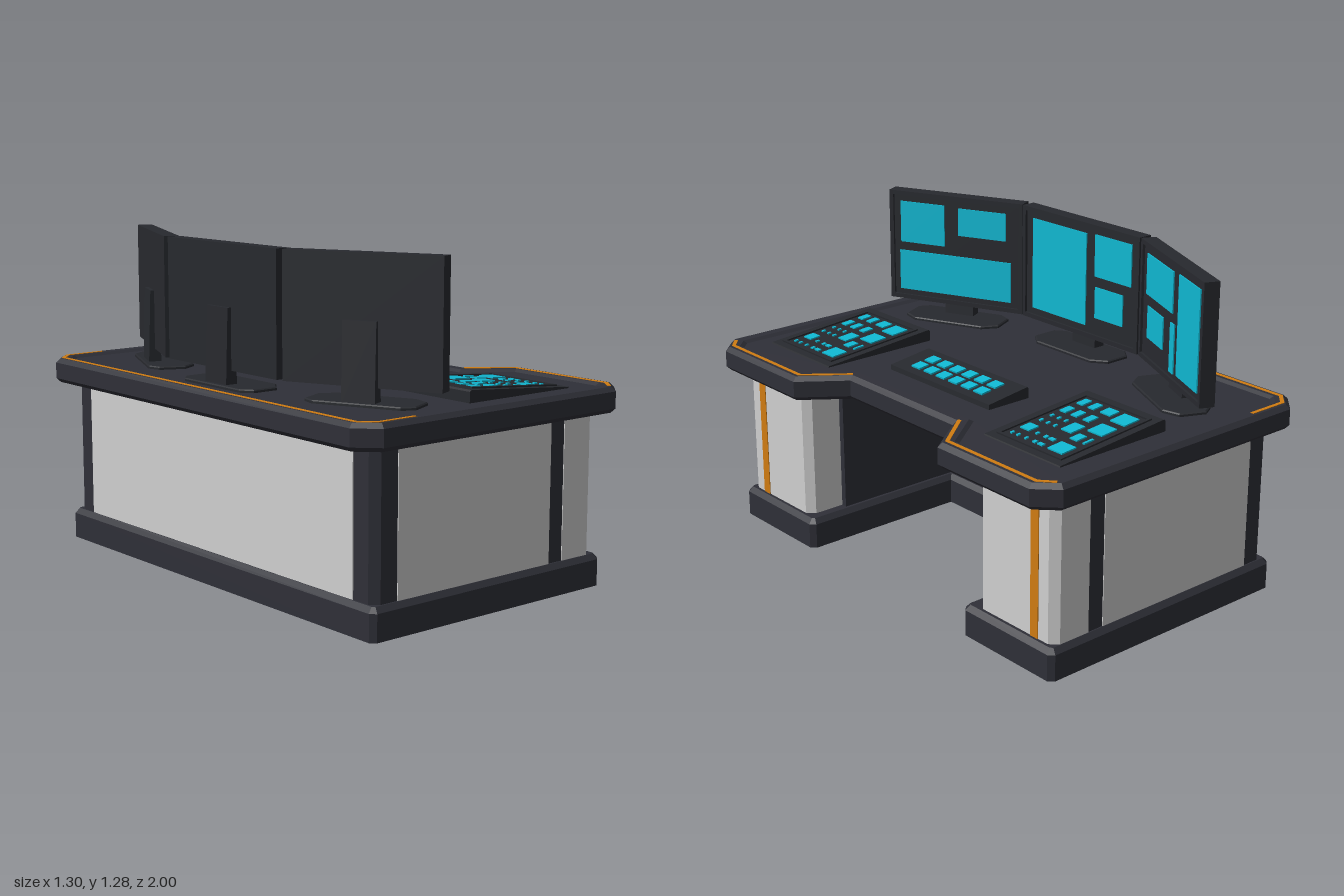
import * as THREE from 'three';

const mat = (name, color) => Object.assign(new THREE.MeshStandardMaterial({ color }), { name });
const M = {
  desk: mat('charcoal', 0x2f3038),
  device: mat('dark grey', 0x27292e),
  panel: mat('light grey', 0xd0d0d0),
  glow: mat('cyan', 0x10b8d2),
  trim: mat('orange', 0xd07c12),
};

// Full outline from the half with z > 0, listed from front to back
const mirrored = half => [...half, ...half.map(([x, z]) => [x, -z]).reverse()];

// Moves every edge of an [x, z] outline inward by d
function inset(pts, d) {
  const n = pts.length;
  const normal = (a, b) => {
    const l = Math.hypot(b[0] - a[0], b[1] - a[1]);
    return [(a[1] - b[1]) / l, (b[0] - a[0]) / l];
  };
  return pts.map((p, i) => {
    const a = normal(pts[(i + n - 1) % n], p), b = normal(p, pts[(i + 1) % n]);
    const k = d / (1 + a[0] * b[0] + a[1] * b[1]);
    return [p[0] + (a[0] + b[0]) * k, p[1] + (a[1] + b[1]) * k];
  });
}

// Solid through the outline at several [y, inset] levels, capped at both ends
function loft(name, pts, levels, material) {
  const pos = [];
  const rings = levels.map(([y, d]) => inset(pts, d).map(([x, z]) => [x, y, z]));
  for (let r = 0; r < rings.length - 1; r++) {
    const lo = rings[r], hi = rings[r + 1];
    lo.forEach((a, i) => {
      const j = (i + 1) % lo.length;
      pos.push(...a, ...hi[i], ...hi[j], ...a, ...hi[j], ...lo[j]);
    });
  }
  const cap = (ring, up) => {
    const tris = THREE.ShapeUtils.triangulateShape(ring.map(p => new THREE.Vector2(p[0], p[2])), []);
    for (const [a, b, c] of tris) pos.push(...ring[a], ...ring[up ? c : b], ...ring[up ? b : c]);
  };
  cap(rings[0], false);
  cap(rings[rings.length - 1], true);
  const geo = new THREE.BufferGeometry();
  geo.setAttribute('position', new THREE.Float32BufferAttribute(pos, 3));
  geo.computeVertexNormals();
  const mesh = new THREE.Mesh(geo, material);
  mesh.name = name;
  return mesh;
}

function box(name, w, h, d, x, y, z, material) {
  const mesh = new THREE.Mesh(new THREE.BoxGeometry(w, h, d), material);
  mesh.name = name;
  mesh.position.set(x, y, z);
  return mesh;
}

// Side profile in x, y stretched along z
function profile(name, pts, depth, material) {
  const shape = new THREE.Shape(pts.map(p => new THREE.Vector2(...p)));
  const geo = new THREE.ExtrudeGeometry(shape, { depth, bevelEnabled: false });
  const mesh = new THREE.Mesh(geo.translate(0, 0, -depth / 2), material);
  mesh.name = name;
  return mesh;
}

// Flat inlaid line along an [x, z] path
function trimLine(name, path, y) {
  const g = new THREE.Group();
  g.name = name;
  for (let i = 0; i < path.length - 1; i++) {
    const [a, b] = [path[i], path[i + 1]];
    const dx = b[0] - a[0], dz = b[1] - a[1];
    const seg = box('trimSegment', Math.hypot(dx, dz) + 0.006, 0.004, 0.015,
      (a[0] + b[0]) / 2, y, (a[1] + b[1]) / 2, M.trim);
    seg.rotation.y = -Math.atan2(dz, dx);
    g.add(seg);
  }
  return g;
}

const TOP = 0.752;

// Monitor facing +x; windows are [z left, z right, y top, y bottom]
function monitor(name, width, windows) {
  const g = new THREE.Group();
  g.name = name;
  const y0 = 0.815, y1 = 1.285, h = y1 - y0, ym = (y0 + y1) / 2, rim = 0.018;
  g.add(box('monitorBody', 0.05, h, width, -0.005, ym, 0, M.device));
  for (const s of [1, -1]) {
    g.add(box('bezelSide', 0.01, h, rim, 0.025, ym, s * (width - rim) / 2, M.device));
    g.add(box('bezelRail', 0.01, rim, width - 2 * rim, 0.025, ym + s * (h - rim) / 2, 0, M.device));
  }
  for (const [l, r, t, b] of windows)
    g.add(box('screenWindow', 0.006, t - b, l - r, 0.022, (t + b) / 2, (l + r) / 2, M.glow));
  g.add(profile('stand', [[-0.055, TOP], [-0.003, TOP], [-0.02, 1.05], [-0.045, 1.05]], 0.13, M.device));
  const foot = [[0.11, 0.155], [0.065, 0.215], [-0.04, 0.215], [-0.075, 0.17]];
  g.add(loft('standFoot', mirrored(foot), [[TOP - 0.005, 0], [TOP + 0.008, 0], [TOP + 0.012, 0.005]], M.device));
  return g;
}

// Key layout of a control console: [x, z, width, depth] in grid steps
const KEYS = [
  [0, 0, 14, 14], [21, 0, 14, 14], [42, 0, 9, 2], [42, 7, 9, 7], [58, 0, 13, 14],
  [0, 19, 9, 10], [16, 23, 9, 6], [32, 19, 13, 10],
  [58, 19, 3, 5], [68, 19, 3, 5], [58, 26, 3, 3], [68, 26, 3, 3],
  [0, 35, 9, 6], [16, 35, 9, 6], [32, 35, 3, 2], [42, 35, 3, 2], [58, 35, 3, 2], [68, 35, 3, 2],
  [0, 46, 9, 6], [16, 46, 9, 6], [32, 42, 3, 2], [42, 42, 3, 2], [32, 49, 3, 2], [42, 49, 3, 2],
  [52, 43, 9, 9], [68, 43, 3, 2], [68, 49, 3, 2],
];

function controlConsole() {
  const g = new THREE.Group();
  g.name = 'controlConsole';
  g.add(profile('consoleBody', [[-0.048, 0.745], [0.465, 0.745], [0.46, 0.757], [-0.04, 0.799], [-0.048, 0.793]], 0.395, M.device));
  const deck = new THREE.Group();
  deck.name = 'consoleDeck';
  deck.position.set(0.21, 0.778, 0);
  deck.rotation.z = -0.084;
  // Raised rim around the keys
  for (const s of [1, -1]) {
    deck.add(box('deckRim', 0.44, 0.008, 0.012, 0, 0.002, s * 0.162, M.device));
    deck.add(box('deckRim', 0.012, 0.008, 0.312, s * 0.214, 0.002, 0, M.device));
  }
  const step = 0.0053;
  for (const [x, z, w, d] of KEYS)
    deck.add(box('consoleKey', w * step, 0.009, d * step, (x + w / 2 - 35.5) * step, 0.001, (z + d / 2 - 26) * step, M.glow));
  g.add(deck);
  return g;
}

function keypad() {
  const g = new THREE.Group();
  g.name = 'keypad';
  g.add(profile('keypadBody', [[0.095, 0.745], [0.29, 0.745], [0.288, 0.772], [0.1, 0.797], [0.095, 0.79]], 0.59, M.device));
  const deck = new THREE.Group();
  deck.name = 'keypadDeck';
  deck.position.set(0.196, 0.7845, 0);
  deck.rotation.z = -0.132;
  for (let i = 0; i < 6; i++)
    for (const s of [-1, 1])
      deck.add(box('keypadKey', 0.046, 0.009, 0.05, s * 0.033, 0.002, (i - 2.5) * 0.0745, M.glow));
  g.add(deck);
  return g;
}

export function createModel() {
  const root = new THREE.Group();
  root.name = 'controlDesk';

  // Desk top with bevelled edge, raised rim and sunken work surface
  const top = mirrored([[0.475, 0.31], [0.65, 0.44], [0.65, 0.92], [0.57, 1], [-0.57, 1], [-0.65, 0.92]]);
  root.add(loft('deskTop', top,
    [[0.664, 0.017], [0.681, 0], [0.745, 0], [0.762, 0.017], [0.762, 0.055], [TOP, 0.07]], M.desk));

  // U-shaped plinth and cabinet around the knee space
  const plinth = mirrored([[-0.15, 0.47], [0.55, 0.47], [0.57, 0.49], [0.57, 0.93], [0.55, 0.95], [-0.55, 0.95], [-0.57, 0.93]]);
  root.add(loft('plinth', plinth, [[0, 0], [0.102, 0], [0.122, 0.018]], M.desk));
  const cabinet = mirrored([[-0.18, 0.5], [0.38, 0.5], [0.38, 0.927], [-0.515, 0.927], [-0.545, 0.897]]);
  root.add(loft('cabinet', cabinet, [[0.11, 0], [0.67, 0]], M.desk));
  root.add(box('backPanel', 0.008, 0.545, 1.64, -0.545, 0.394, 0, M.panel));

  // Light front caps, side panels and orange trim on both pedestals
  const capHalf = [[0.375, 0.525], [0.51, 0.525], [0.54, 0.555], [0.54, 0.9], [0.51, 0.93], [0.375, 0.93]];
  for (const s of [1, -1]) {
    const outline = s > 0 ? capHalf : capHalf.map(([x, z]) => [x, -z]).reverse();
    root.add(loft('pedestalFront', outline, [[0.115, 0], [0.67, 0]], M.panel));
    root.add(box('pedestalStripe', 0.006, 0.545, 0.04, 0.54, 0.394, s * 0.83, M.trim));
    root.add(box('sidePanel', 0.745, 0.545, 0.008, -0.0675, 0.394, s * 0.926, M.panel));
    root.add(trimLine('frontTrim', [[0.57, 0.965], [0.613, 0.915], [0.613, 0.45], [0.455, 0.325]].map(([x, z]) => [x, z * s]), 0.762));
  }
  const back = [[-0.4, 0.965], [-0.565, 0.965], [-0.617, 0.913]];
  root.add(trimLine('backTrim', mirrored(back), 0.762));

  // Three monitors angled toward the seat
  const centre = monitor('centreMonitor', 0.67,
    [[0.278, -0.037, 1.24, 0.861], [-0.086, -0.289, 1.246, 1.075], [-0.09, -0.246, 1.032, 0.904]]);
  centre.position.set(-0.463, 0, 0);
  const left = monitor('frontSideMonitor', 0.615,
    [[0.258, 0.053, 1.24, 1.064], [-0.012, -0.23, 1.235, 1.118], [0.264, -0.253, 1.027, 0.856]]);
  left.position.set(-0.336, 0, 0.633);
  left.rotation.y = 0.425;
  const right = monitor('rearSideMonitor', 0.615,
    [[0.253, -0.012, 1.24, 1.08], [-0.065, -0.264, 1.246, 0.856], [0.235, 0.076, 1.037, 0.91], [0.006, -0.035, 1.043, 0.85]]);
  right.position.set(-0.336, 0, -0.633);
  right.rotation.y = -0.425;
  root.add(centre, left, right);

  // Work surface controls
  for (const s of [1, -1]) {
    const c = controlConsole();
    c.position.z = s * 0.668;
    root.add(c);
  }
  root.add(keypad());
  return root;
}
